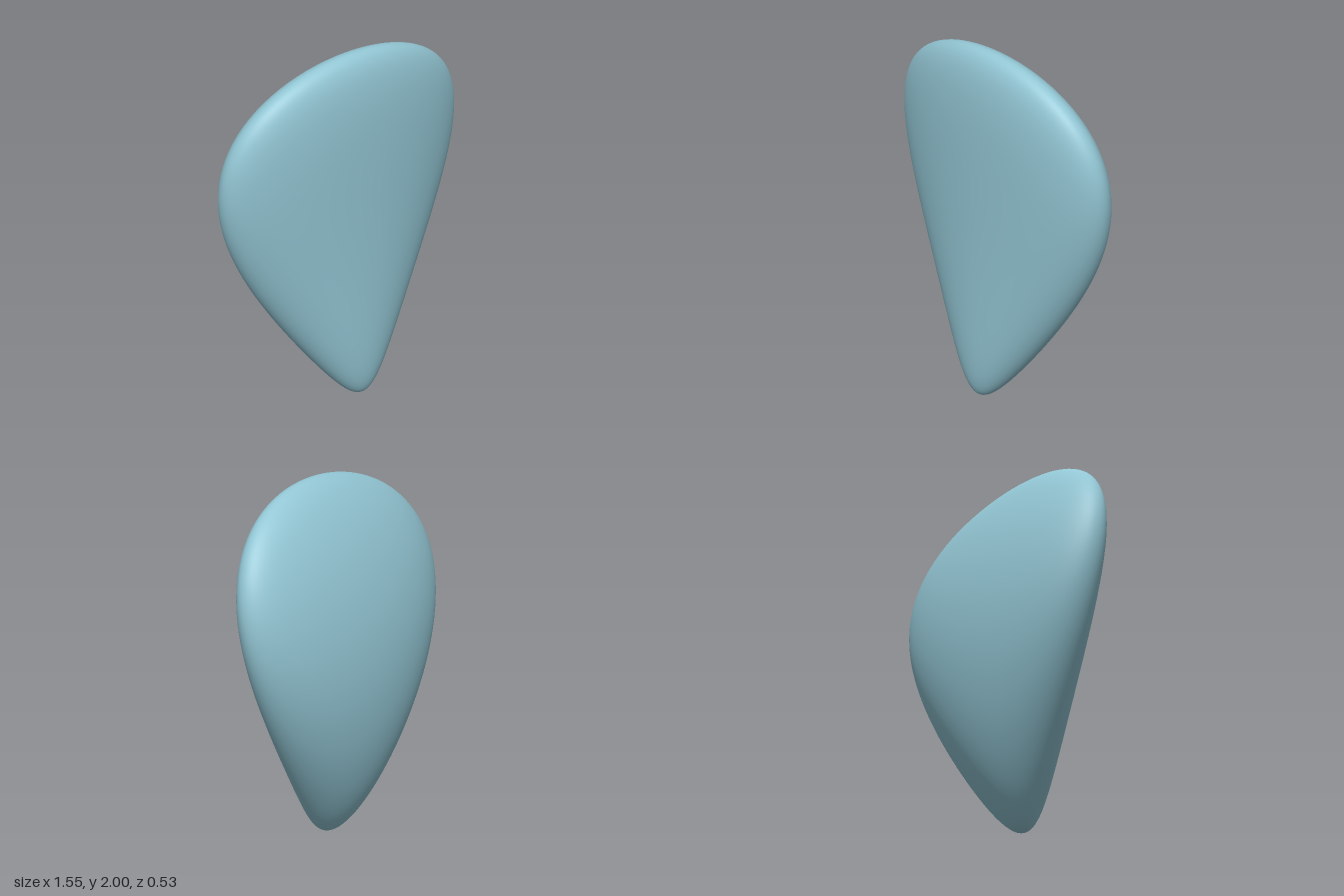
import * as THREE from 'three';
import { mergeVertices } from 'three/addons/utils/BufferGeometryUtils.js';

export function createModel() {
  const group = new THREE.Group();
  group.name = 'pebble';

  // Unit sphere, flattened, tapered towards the bottom and bowed along its height
  let geometry = new THREE.SphereGeometry(1, 96, 64);
  geometry.deleteAttribute('uv');
  geometry.deleteAttribute('normal');
  geometry = mergeVertices(geometry, 1e-5);
  const pos = geometry.attributes.position;
  for (let i = 0; i < pos.count; i++) {
    const t = pos.getY(i);
    const x = pos.getX(i) * (0.68 + 0.41 * t);
    const z = pos.getZ(i) * 0.263 + 0.15 * t * t;
    pos.setXYZ(i, x, t + 1, z);
  }
  geometry.computeVertexNormals();

  const body = new THREE.Mesh(geometry, new THREE.MeshStandardMaterial({ color: 0x92c5d3 }));
  body.name = 'body';
  group.add(body);
  return group;
}
